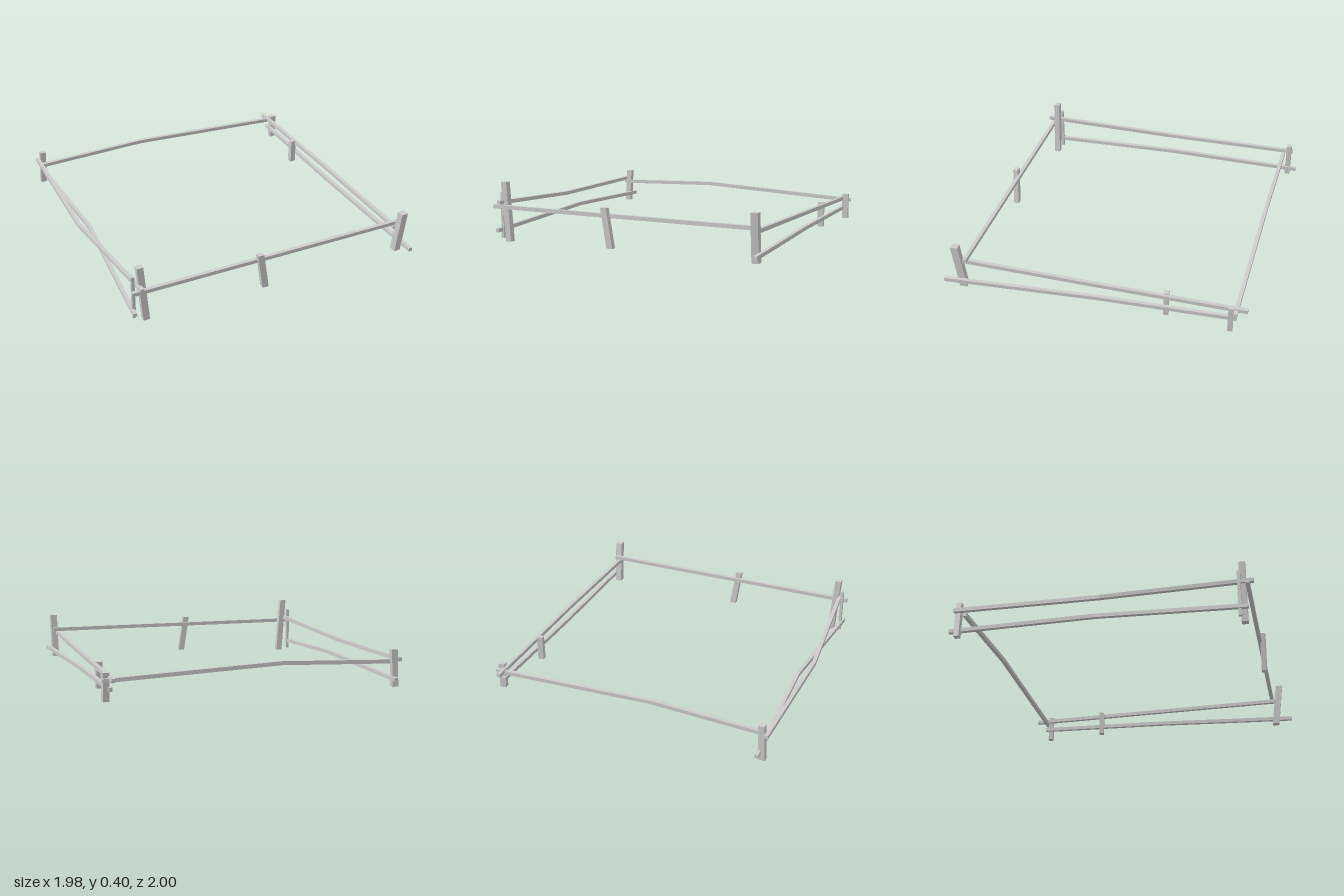
import * as THREE from 'three';

const material = new THREE.MeshStandardMaterial({ color: 0xcccccc, flatShading: true });

// Square timber along one axis, its cross-sections shifted to pass through the points
function timber(name, axis, size, points, yaw = 0) {
  const n = points.length - 1;
  const dims = size.slice();
  const segs = [1, 1, 1];
  dims[axis] = 1;
  segs[axis] = n;
  const box = new THREE.BoxGeometry(...dims, ...segs);
  if (yaw) box.rotateY(yaw);
  const pos = box.attributes.position;
  for (let i = 0; i < pos.count; i++) {
    const v = [pos.getX(i), pos.getY(i), pos.getZ(i)];
    const p = points[Math.round((v[axis] + 0.5) * n)];
    v[axis] = 0;
    pos.setXYZ(i, v[0] + p[0], v[1] + p[1], v[2] + p[2]);
  }
  const geometry = box.toNonIndexed();
  geometry.computeVertexNormals();
  const mesh = new THREE.Mesh(geometry, material);
  mesh.name = name;
  return mesh;
}

export function createModel() {
  const group = new THREE.Group();
  group.name = 'fence';

  // Posts: name, width, depth, bottom centre, top centre, yaw
  const posts = [
    ['frontRightPost', 0.042, 0.04, [-0.837, 0, 0.852], [-0.867, 0.395, 0.852], 0],
    ['frontRightStake', 0.02, 0.02, [-0.905, 0.015, 0.832], [-0.905, 0.32, 0.832], 0],
    ['frontMiddlePost', 0.042, 0.034, [-0.043, 0.03, 0.892], [-0.083, 0.285, 0.897], 0],
    ['frontLeftPost', 0.045, 0.048, [0.937, 0.03, 0.884], [0.942, 0.335, 0.921], 0.08],
    ['leftMiddlePost', 0.04, 0.033, [0.863, 0.03, -0.449], [0.863, 0.2, -0.449], 0.15],
    ['backLeftPost', 0.042, 0.034, [0.904, 0.03, -0.866], [0.904, 0.205, -0.866], 0.15],
    ['backRightPost', 0.04, 0.034, [-0.954, 0.03, -0.937], [-0.942, 0.27, -0.937], 0],
  ];
  for (const [name, w, d, bottom, top, yaw] of posts) {
    group.add(timber(name, 1, [w, 1, d], [bottom, top], yaw));
  }

  // Rails: name, axis they run along, points from the negative to the positive end
  const rails = [
    ['frontRail', 0, [[-0.932, 0.232, 0.885], [0.95, 0.232, 0.863]]],
    ['backRail', 0, [[-0.96, 0.185, -0.895], [-0.2, 0.212, -0.895], [0.928, 0.16, -0.895]]],
    ['leftUpperRail', 2, [[0.874, 0.17, -0.965], [0.904, 0.194, 0.05], [0.917, 0.208, 0.885]]],
    ['leftLowerRail', 2, [[0.88, 0.106, -0.9], [0.914, 0.098, 0], [0.977, 0.083, 1]]],
    ['rightUpperRail', 2, [[-0.977, 0.206, -0.96], [-0.97, 0.199, -0.02], [-0.874, 0.264, 0.92]]],
    ['rightLowerRail', 2, [[-0.935, 0.083, -1], [-0.88, 0.121, -0.07], [-0.915, 0.07, 0.885]]],
  ];
  for (const [name, axis, points] of rails) {
    group.add(timber(name, axis, [0.025, 0.025, 0.025], points));
  }

  return group;
}
